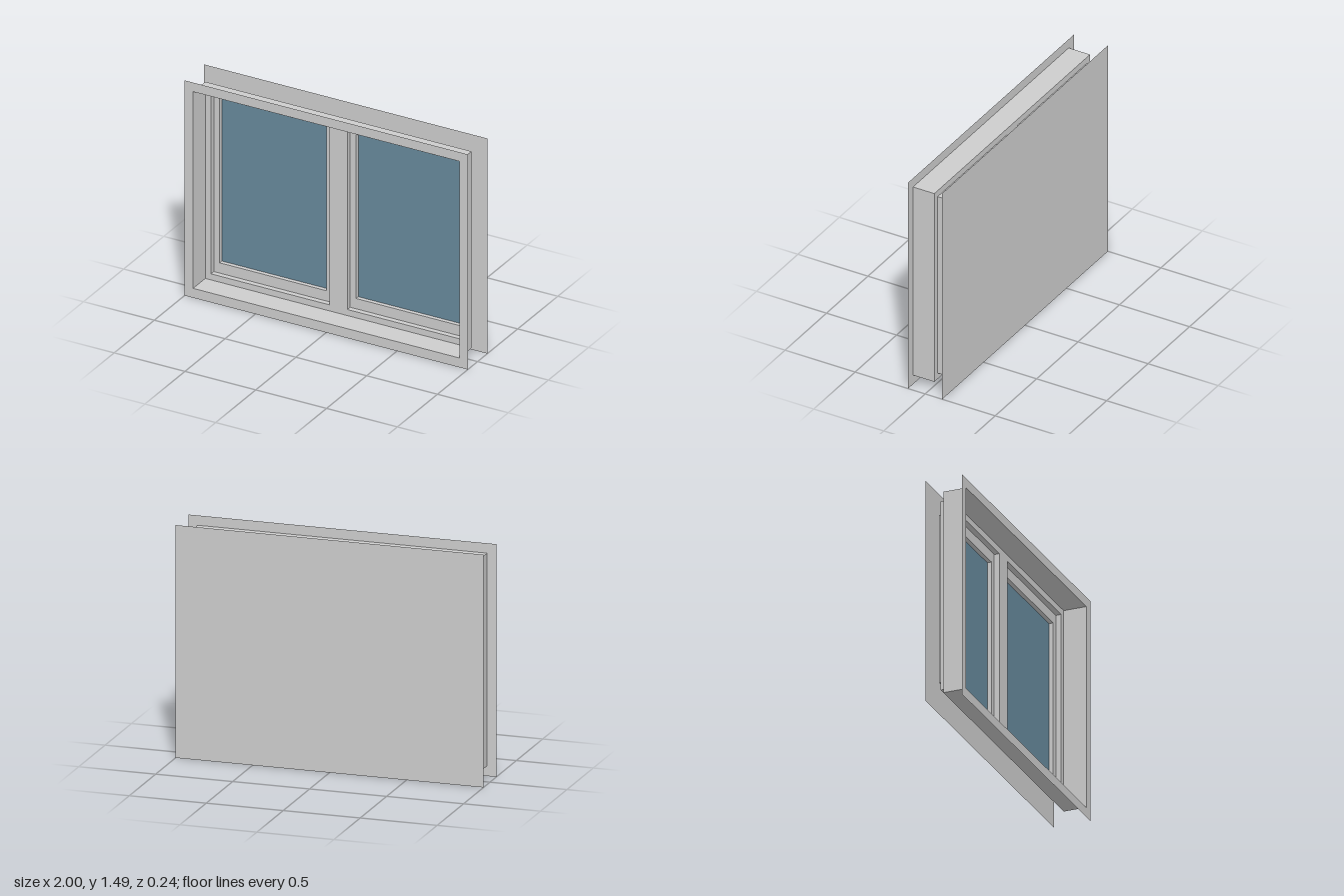
import * as THREE from 'three';

// Rectangles are [x0, y0, x1, y1]; depths run from the front flange to the backing sheet.
const OUTER = [-1, 0, 1, 1.49];
const OPENING = [-0.94, 0.065, 0.94, 1.427];
const Z = { front: 0.122, frame: -0.03, sash: -0.065, glass: -0.093, back: -0.122 };

function trace(path, [x0, y0, x1, y1]) {
  path.moveTo(x0, y0);
  path.lineTo(x1, y0);
  path.lineTo(x1, y1);
  path.lineTo(x0, y1);
  path.closePath();
  return path;
}

export function createModel() {
  const model = new THREE.Group();
  model.name = 'window';
  const grey = new THREE.MeshStandardMaterial({ color: 0xcccccc, side: THREE.DoubleSide });
  grey.name = 'frame grey';
  const blue = new THREE.MeshStandardMaterial({ color: 0x66889b, side: THREE.DoubleSide });
  blue.name = 'glass blue';

  // Flat sheet facing +z with optional rectangular holes
  function sheet(name, rect, z, holes = [], material = grey, parent = model) {
    const shape = trace(new THREE.Shape(), rect);
    for (const hole of holes) shape.holes.push(trace(new THREE.Path(), hole));
    const mesh = new THREE.Mesh(new THREE.ShapeGeometry(shape), material);
    mesh.name = name;
    mesh.position.z = z;
    parent.add(mesh);
  }

  // Four thin walls lining a rectangular opening between two depths
  function lining(name, [x0, y0, x1, y1], zFront, zBack, parent = model) {
    const group = new THREE.Group();
    group.name = name;
    const depth = zFront - zBack, cx = (x0 + x1) / 2, cy = (y0 + y1) / 2, cz = (zFront + zBack) / 2;
    for (const side of [-1, 1]) {
      const jamb = new THREE.Mesh(new THREE.PlaneGeometry(depth, y1 - y0), grey);
      jamb.name = side < 0 ? 'rightWall' : 'leftWall';
      jamb.rotation.y = -side * Math.PI / 2;
      jamb.position.set(side < 0 ? x0 : x1, cy, cz);
      const rail = new THREE.Mesh(new THREE.PlaneGeometry(x1 - x0, depth), grey);
      rail.name = side < 0 ? 'bottomWall' : 'topWall';
      rail.rotation.x = side * Math.PI / 2;
      rail.position.set(cx, side < 0 ? y0 : y1, cz);
      group.add(jamb, rail);
    }
    parent.add(group);
  }

  // Front flange, deep reveal and backing sheet
  sheet('frontFlange', OUTER, Z.front, [OPENING]);
  lining('reveal', OPENING, Z.front, Z.frame);
  sheet('backSheet', OUTER, Z.back);

  // Two mirrored sashes, each stepping back to its pane
  const mirrored = (a, b, y0, y1) => [[-b, y0, -a, y1], [a, y0, b, y1]];
  const sashes = mirrored(0.063, 0.9, 0.107, 1.384);
  const panes = mirrored(0.105, 0.858, 0.178, 1.315);
  sheet('innerFrame', OPENING, Z.frame, sashes);
  sashes.forEach((sash, i) => {
    const group = new THREE.Group();
    group.name = i ? 'leftSash' : 'rightSash';
    lining('sashLining', sash, Z.frame, Z.sash, group);
    sheet('sashFrame', sash, Z.sash, [panes[i]], grey, group);
    lining('paneLining', panes[i], Z.sash, Z.glass, group);
    sheet('glassPane', panes[i], Z.glass, [], blue, group);
    model.add(group);
  });
  return model;
}
